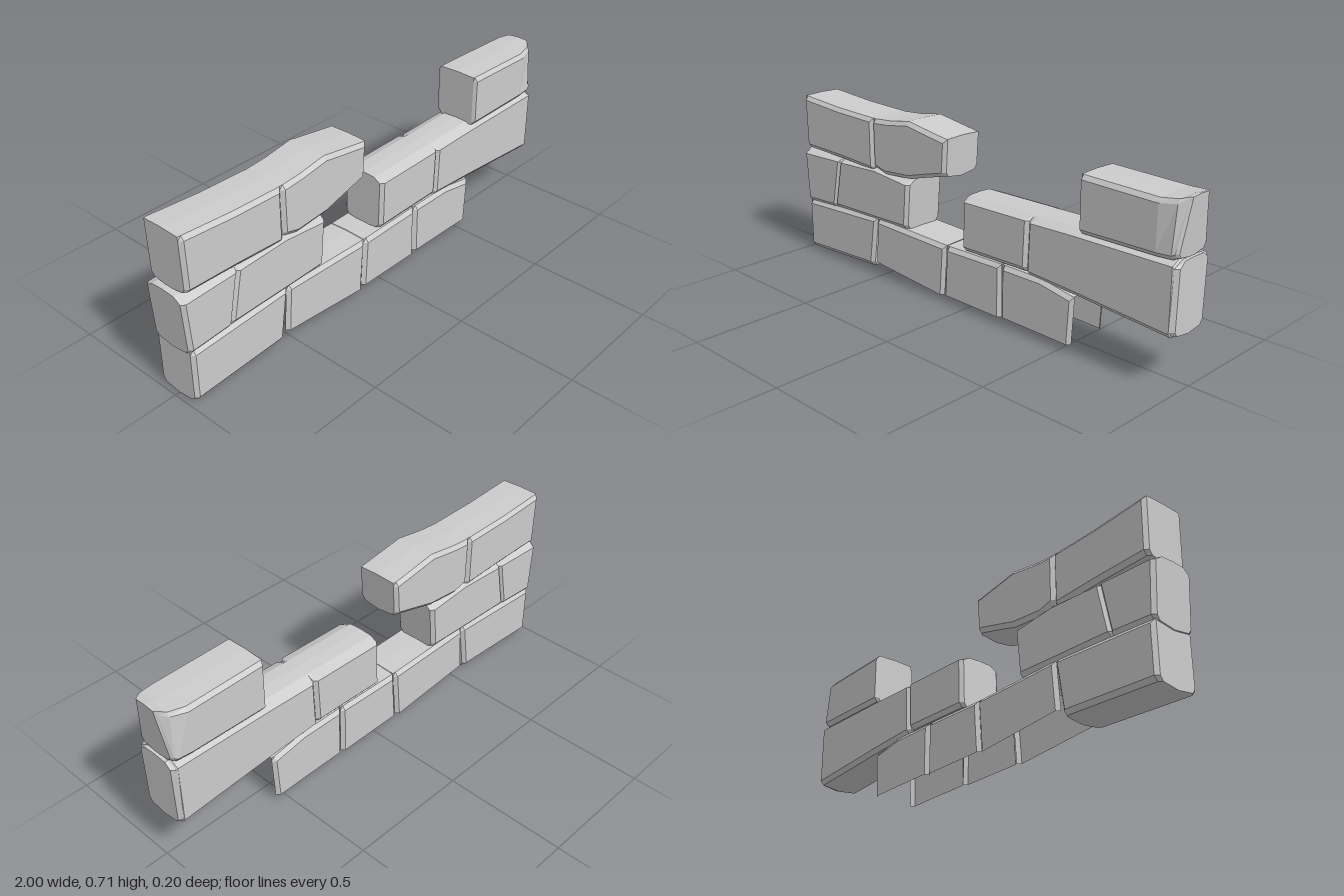
import * as THREE from 'three';

const material = new THREE.MeshStandardMaterial({
  color: 0xcccccc, flatShading: true, side: THREE.DoubleSide,
});

// Cross-section of a stone: up the front, over the top, down the back, under the bottom.
// Station: [x at bottom, x at top, bottom y, top y, half depth, top narrowing]
function section([xb, xt, yb, yt, d = 0.098, narrow = 1], o) {
  const low = o.open ? yb : yb + 0.028;
  const high = yt - o.drop;
  const t = Math.min(o.ridge, d) * narrow;
  const ring = [
    [low, d], [high, d * narrow],
    [yt - 0.003, t], [yt, 0], [yt - 0.003, -t],
    [high, -d * narrow], [low, -d],
  ];
  if (!o.open) ring.push([yb + 0.01, -d * 0.85], [yb, 0], [yb + 0.01, d * 0.85]);
  return ring.map(([y, z]) => [xb + (xt - xb) * (y - yb) / (yt - yb), y, z]);
}

// Loft a stone from its stations, with a small chamfer around both ends
function stone(name, stations, options = {}) {
  const o = { drop: 0.02, ridge: 0.085, open: false, chamfer: 0.014, ...options };
  const inset = (s, dir) => [s[0] + dir * o.chamfer, s[1] + dir * o.chamfer, ...s.slice(2)];
  const shallow = (s) => [...s.slice(0, 4), (s[4] ?? 0.098) - 0.014, s[5] ?? 1];
  const first = stations[0], last = stations[stations.length - 1];
  const rings = [
    shallow(first), inset(first, 1), ...stations.slice(1, -1), inset(last, -1), shallow(last),
  ].map((s) => section(s, o));

  const n = rings[0].length;
  const index = [];
  const sides = o.open ? n - 1 : n;
  for (let j = 0; j < rings.length - 1; j++) {
    for (let i = 0; i < sides; i++) {
      const k = (i + 1) % n;
      const a = j * n + i, b = a + n, d = j * n + k, c = d + n;
      index.push(a, b, c, a, c, d);
    }
  }
  // End caps; open stones are hollow shells
  if (!o.open) {
    const e = (rings.length - 1) * n;
    for (let i = 1; i < n - 1; i++) index.push(0, i, i + 1, e, e + i + 1, e + i);
  }
  const geometry = new THREE.BufferGeometry();
  geometry.setAttribute('position', new THREE.Float32BufferAttribute(rings.flat(2), 3));
  geometry.setIndex(index);
  const flat = geometry.toNonIndexed();
  flat.computeVertexNormals();
  const mesh = new THREE.Mesh(flat, material);
  mesh.name = name;
  return mesh;
}

export function createModel() {
  const wall = new THREE.Group();
  wall.name = 'brokenStoneWall';
  const shell = { open: true };
  const peaked = { ridge: 0.055, drop: 0.024 };

  // Bottom course: one solid corner stone, then hollow stones
  const bottom = new THREE.Group();
  bottom.name = 'bottomCourse';
  bottom.add(
    stone('bottomCornerStone', [[-0.98, -0.98, 0, 0.235], [-0.555, -0.52, 0.018, 0.255]]),
    stone('bottomStone1', [[-0.535, -0.52, 0.055, 0.255], [-0.12, -0.102, 0.023, 0.245]], shell),
    stone('bottomStone2', [[-0.115, -0.1, 0.03, 0.245], [0.197, 0.197, 0.027, 0.25]], shell),
    stone('bottomStone3', [[0.2, 0.2, 0.033, 0.25], [0.4, 0.4, 0.031, 0.25],
      [0.545, 0.556, 0.028, 0.225]], shell),
  );

  // Middle course with a gap
  const middle = new THREE.Group();
  middle.name = 'middleCourse';
  middle.add(
    stone('middleEndStone', [[-0.985, -1, 0.215, 0.468], [-0.795, -0.745, 0.225, 0.475]], peaked),
    stone('middleStone1', [[-0.8, -0.75, 0.23, 0.475], [-0.52, -0.52, 0.235, 0.485],
      [-0.335, -0.315, 0.24, 0.467]], peaked),
    stone('middleStone2', [[-0.012, -0.005, 0.24, 0.472], [0.325, 0.335, 0.245, 0.477]],
      { ...peaked, drop: 0.02 }),
    stone('middleLongStone', [[0.325, 0.335, 0.235, 0.477], [0.55, 0.55, 0.222, 0.482],
      [0.97, 0.97, 0.19, 0.485], [0.985, 0.99, 0.195, 0.478, 0.094]], peaked),
  );

  // Top course: a pair on the right-hand side, a single stone on the left
  const top = new THREE.Group();
  top.name = 'topCourse';
  top.add(
    stone('topEndStone', [[-0.975, -0.98, 0.465, 0.708], [-0.75, -0.75, 0.46, 0.693],
      [-0.53, -0.53, 0.45, 0.688]]),
    stone('topOverhangStone', [[-0.528, -0.53, 0.465, 0.688], [-0.46, -0.43, 0.45, 0.695],
      [-0.31, -0.31, 0.462, 0.714], [-0.25, -0.22, 0.48, 0.7], [-0.105, -0.093, 0.515, 0.683]]),
    stone('topSingleStone', [[0.57, 0.57, 0.462, 0.692], [0.9, 0.9, 0.465, 0.685],
      [0.96, 0.965, 0.468, 0.692, 0.095, 0.85], [0.978, 1, 0.475, 0.7, 0.09, 0.6]],
      { chamfer: 0.008 }),
  );

  wall.add(bottom, middle, top);
  return wall;
}
